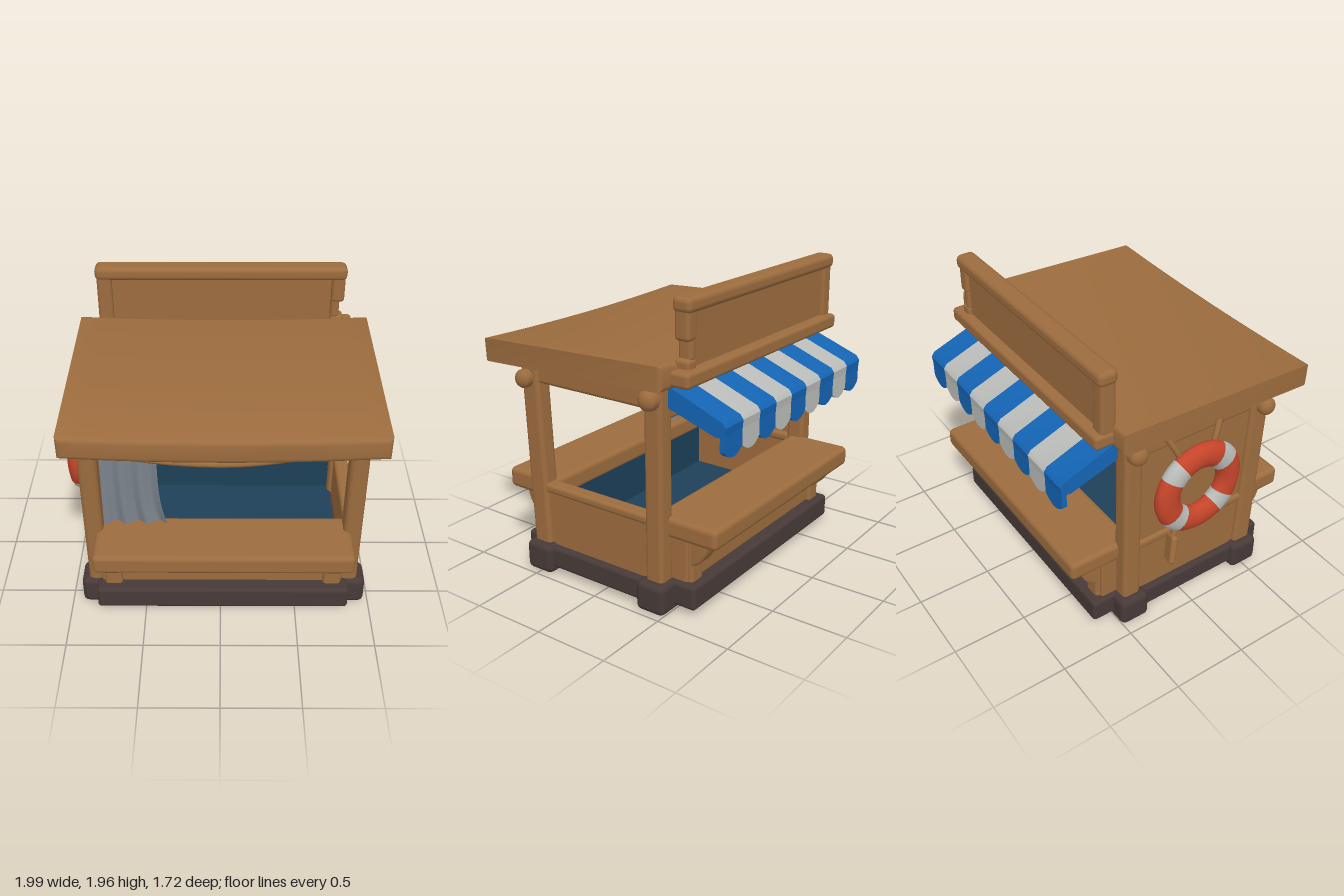
import * as THREE from 'three';
import { toCreasedNormals } from 'three/addons/utils/BufferGeometryUtils.js';
import { RoundedBoxGeometry } from 'three/addons/geometries/RoundedBoxGeometry.js';

const mat = (name, color, side = THREE.FrontSide) => {
  const m = new THREE.MeshStandardMaterial({ color, side });
  m.name = name;
  return m;
};

export function createModel() {
  const wood = mat('wood', 0x9c6c3e);
  const stone = mat('darkBase', 0x473a38);
  const blue = mat('awningBlue', 0x1464b4);
  const white = mat('awningWhite', 0xbabcba);
  const grey = mat('curtainGrey', 0x7b838c, THREE.DoubleSide);
  const orange = mat('ringOrange', 0xc6452a);
  const inside = mat('interiorBlue', 0x1d4058);

  const root = new THREE.Group();
  root.name = 'beachKiosk';
  const add = (name, geo, material, parent = root) => {
    const m = new THREE.Mesh(geo, material);
    m.name = name;
    parent.add(m);
    return m;
  };
  // rounded box given by its limits on each axis
  const block = (name, [x0, x1], [y0, y1], [z0, z1], material = wood, r = 0.025) => {
    const s = [x1 - x0, y1 - y0, z1 - z0];
    const m = add(name, new RoundedBoxGeometry(...s, 2, Math.min(r, Math.min(...s) * 0.45)), material);
    m.position.set((x0 + x1) / 2, (y0 + y1) / 2, (z0 + z1) / 2);
    return m;
  };
  // rounded timber running between two points
  const beam = (name, a, b, w, d, r = 0.03) => {
    const p = new THREE.Vector3(...a), q = new THREE.Vector3(...b);
    const dir = q.clone().sub(p);
    const m = add(name, new RoundedBoxGeometry(w, dir.length(), d, 2, r), wood);
    m.position.copy(p).add(q).multiplyScalar(0.5);
    m.quaternion.setFromUnitVectors(new THREE.Vector3(0, 1, 0), dir.normalize());
    return m;
  };
  const tube = (name, pts, r) => add(name, new THREE.TubeGeometry(
    new THREE.CatmullRomCurve3(pts.map(p => new THREE.Vector3(...p))), 24, r, 8), wood);
  const extrude = (shape, depth, bevel = 0) => toCreasedNormals(new THREE.ExtrudeGeometry(shape, {
    depth, bevelEnabled: bevel > 0, bevelSize: bevel, bevelThickness: bevel, bevelOffset: -bevel,
    bevelSegments: 3, curveSegments: 16 }), 0.6);

  // base with corner blocks
  block('base', [-0.82, 0.85], [0.04, 0.2], [-0.66, 0.7], stone);
  block('baseSides', [-0.89, 0.93], [0.04, 0.19], [-0.42, 0.5], stone);
  for (const [x0, x1] of [[-0.93, -0.7], [0.74, 0.97]]) {
    block('frontCornerBlock', [x0, x1], [0, 0.2], [0.4, 0.61], stone, 0.04);
    block('backCornerBlock', [x0, x1], [0, 0.2], [-0.51, -0.3], stone, 0.04);
  }

  // corner posts and protruding beam ends
  for (const [s, x] of [[-1, -0.82], [1, 0.855]]) {
    beam('frontPost', [x, 0.15, 0.51], [x, 1.45, 0.56], 0.12, 0.14);
    beam('backPost', [x, 0.15, -0.405], [x, 1.48, -0.405], 0.12, 0.13);
    for (const [y, z, r] of [[1.31, 0.575, 0.06], [1.36, -0.4, 0.065]]) {
      const e = add('beamEnd', new THREE.CapsuleGeometry(r, 0.08, 4, 12), wood);
      e.rotation.z = Math.PI / 2;
      e.scale.y = 0.7;
      e.position.set(x + s * 0.06, y, z);
    }
    // side frame
    block('sideTopBeam', [x - 0.04, x + 0.04], [1.28, 1.46], [-0.4, 0.54]);
    block('sideRail', [x - 0.05, x + 0.05], [0.55, 0.615], [-0.4, 0.52]);
    block('sideWall', [x - 0.03, x + 0.03], [0.15, 0.58], [-0.4, 0.5], wood, 0.01);
  }
  block('closedSideWall', [-0.85, -0.81], [0.58, 1.35], [-0.38, 0.53], wood, 0.01);

  // lower walls, counters and curved brackets at front and back
  block('frontWall', [-0.79, 0.81], [0.15, 0.52], [0.46, 0.6], wood, 0.015);
  block('backWall', [-0.79, 0.81], [0.15, 0.52], [-0.58, -0.42], wood, 0.015);
  block('frontCounter', [-0.81, 0.85], [0.48, 0.62], [0.44, 0.85], wood, 0.035);
  block('backCounter', [-0.81, 0.85], [0.48, 0.615], [-0.81, -0.36], wood, 0.035);
  const bracket = new THREE.Shape();
  bracket.moveTo(0, 0.5);
  bracket.lineTo(0.16, 0.5);
  bracket.quadraticCurveTo(0.15, 0.36, 0.05, 0.31);
  bracket.lineTo(0, 0.31);
  const bracketGeo = extrude(bracket, 0.08, 0.015);
  for (const x of [-0.71, 0.74]) {
    block('frontPilaster', [x - 0.06, x + 0.06], [0.18, 0.5], [0.55, 0.635]);
    block('backPilaster', [x - 0.06, x + 0.06], [0.18, 0.5], [-0.61, -0.54]);
    const f = add('frontBracket', bracketGeo, wood);
    f.rotation.y = -Math.PI / 2;
    f.position.set(x + 0.04, 0, 0.59);
    const b = add('backBracket', bracketGeo, wood);
    b.rotation.y = Math.PI / 2;
    b.position.set(x - 0.04, 0, -0.56);
  }

  // interior lining
  block('frontLining', [-0.78, 0.81], [0.2, 0.56], [0.445, 0.453], inside, 0.001);
  block('backLining', [-0.78, 0.81], [0.2, 0.56], [-0.415, -0.407], inside, 0.001);
  block('floor', [-0.78, 0.81], [0.2, 0.208], [-0.42, 0.46], inside, 0.001);

  // gently sagging roof, lower towards the front
  const roof = new THREE.Shape();
  roof.moveTo(-0.97, -0.065);
  roof.quadraticCurveTo(0, -0.13, 0.97, -0.065);
  roof.lineTo(0.97, 0.085);
  roof.quadraticCurveTo(0, 0.045, -0.97, 0.085);
  const roofGroup = new THREE.Group();
  roofGroup.name = 'roof';
  roofGroup.position.set(0.02, 1.48, 0.165);
  roofGroup.rotation.x = 0.035;
  root.add(roofGroup);
  const slab = add('roofSlab', extrude(roof, 1.33, 0.03), wood, roofGroup);
  slab.position.z = -0.665;
  const ceiling = add('ceiling', new THREE.BoxGeometry(1.58, 0.008, 0.86), inside, roofGroup);
  ceiling.position.set(0, -0.105, -0.12);
  const patch = add('ceilingCloth', new THREE.BoxGeometry(0.9, 0.006, 0.36), grey, roofGroup);
  patch.position.set(0.28, -0.112, 0.12);

  // sagging front fascia and rope, straight back beam
  const fascia = new THREE.Shape();
  fascia.moveTo(-0.8, 1.43);
  fascia.lineTo(-0.8, 1.29);
  fascia.quadraticCurveTo(0, 1.09, 0.83, 1.3);
  fascia.lineTo(0.83, 1.43);
  add('frontFascia', extrude(fascia, 0.06), wood).position.z = 0.53;
  tube('fasciaRope', [[-0.86, 1.31, 0.61], [-0.45, 1.22, 0.62], [0.05, 1.185, 0.62],
    [0.45, 1.23, 0.62], [0.9, 1.32, 0.61]], 0.022);
  block('backBeam', [-0.82, 0.85], [1.21, 1.46], [-0.45, -0.37]);

  // sign board on the back edge
  block('signFoot', [-0.84, 0.9], [1.45, 1.545], [-0.65, -0.51]);
  block('signTopBeam', [-0.84, 0.84], [1.86, 1.955], [-0.62, -0.49], wood, 0.035);
  block('signBoard', [-0.76, 0.8], [1.5, 1.9], [-0.58, -0.54], wood, 0.01);
  block('signPost', [-0.83, -0.73], [1.5, 1.9], [-0.605, -0.5]);
  block('signPost', [0.74, 0.83], [1.7, 1.9], [-0.605, -0.5]);
  block('signPost', [0.74, 0.8], [1.58, 1.73], [-0.6, -0.505]);
  block('signPost', [0.74, 0.83], [1.5, 1.6], [-0.605, -0.5]);

  // striped awning with scalloped valance
  const awning = new THREE.Group();
  awning.name = 'awning';
  root.add(awning);
  const w = 1.64 / 9;
  const profile = new THREE.Shape([[0.46, 1.31], [0.8, 1.2], [0.855, 1.19], [0.862, 1.26],
    [0.84, 1.29], [0.46, 1.435]].map(p => new THREE.Vector2(...p)));
  const scallop = new THREE.Shape();
  scallop.moveTo(0, 1.23);
  scallop.lineTo(0, 1.11);
  scallop.quadraticCurveTo(w / 2, 1.02, w, 1.11);
  scallop.lineTo(w, 1.23);
  const stripeGeo = extrude(profile, w);
  const outerGeo = extrude(scallop, 0.025), innerGeo = extrude(scallop, 0.008);
  for (let i = 0; i < 9; i++) {
    const x = -0.8 + i * w;
    const stripe = add('awningStripe', stripeGeo, i % 2 ? white : blue, awning);
    stripe.rotation.y = Math.PI / 2;
    stripe.position.x = x;
    add('valance', outerGeo, i % 2 ? white : blue, awning).position.set(x, 0, -0.857);
    add('valanceInside', innerGeo, [1, 3, 6].includes(i) ? white : blue, awning).position.set(x, 0, -0.832);
  }
  const under = add('awningUnderside', new THREE.BoxGeometry(1.64, 0.008, 0.36), blue, awning);
  under.position.set(0.02, 1.252, -0.63);
  under.rotation.x = -Math.atan2(0.11, 0.34);

  // curtain with soft folds, flaring at the hem
  const cloth = new THREE.PlaneGeometry(1, 1, 32, 10);
  const p = cloth.attributes.position;
  for (let i = 0; i < p.count; i++) {
    const u = p.getX(i) + 0.5, v = 0.5 - p.getY(i);
    p.setXYZ(i, -0.78 + u * (0.38 + 0.06 * v ** 4), 1.27 - 0.66 * v,
      0.5 + 0.02 * Math.sin(u * 20) * (0.4 + 0.6 * v));
  }
  cloth.computeVertexNormals();
  add('curtain', cloth, grey);

  // life ring with four pale bands
  const ring = new THREE.Group();
  ring.name = 'lifeRing';
  ring.position.set(-0.94, 0.95, 0.03);
  ring.rotation.y = Math.PI / 2;
  ring.scale.z = 0.68;
  root.add(ring);
  const band = 0.42, gap = Math.PI / 2 - band;
  for (let i = 0; i < 4; i++) {
    const a = Math.PI / 4 + i * Math.PI / 2;
    add('ringBand', new THREE.TorusGeometry(0.235, 0.09, 14, 6, band), white, ring).rotation.z = a - band / 2;
    add('ringBody', new THREE.TorusGeometry(0.235, 0.088, 14, 14, gap), orange, ring).rotation.z = a + band / 2;
  }
  // hanging straps and small paddle
  for (const s of [-1, 1])
    tube('ringStrap', [[-0.87, 1.36, 0.03 + s * 0.2], [-0.9, 1.26, 0.03 + s * 0.15], [-0.91, 1.15, 0.03 + s * 0.1]], 0.02);
  beam('paddleHandle', [-0.875, 0.8, -0.06], [-0.915, 0.55, -0.13], 0.035, 0.04, 0.015);
  beam('paddleBlade', [-0.905, 0.6, -0.12], [-0.935, 0.41, -0.16], 0.045, 0.11, 0.02);

  return root;
}
